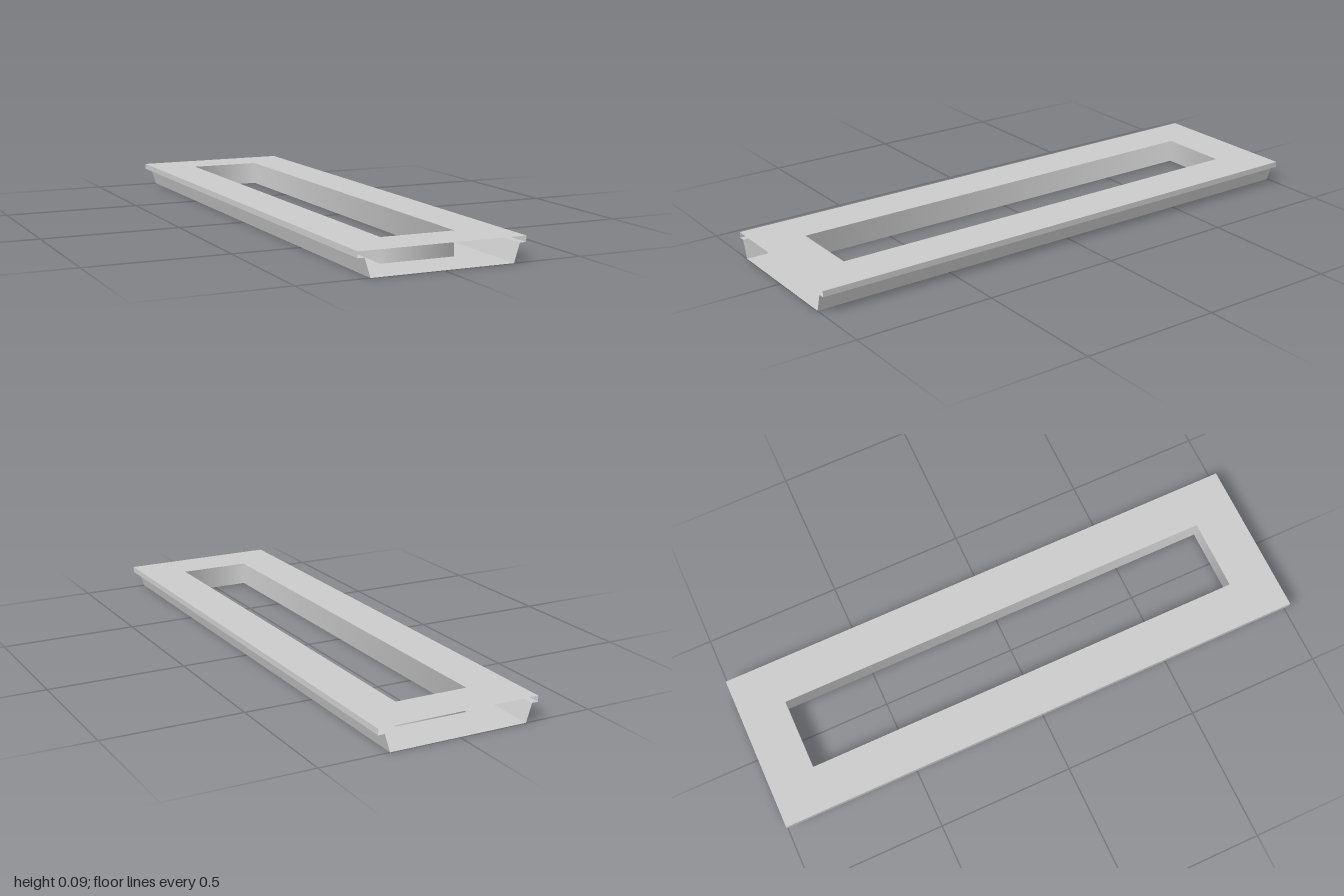
import * as THREE from 'three';

const HALF_LENGTH = 1, TOP_Y = 0.085;
const HOLE_X = 0.133, HOLE_Z = 0.833;
// Side profile (x, y) from the top plate's edge down to the bottom plate's edge
const PROFILE = [[0.295, TOP_Y], [0.295, 0.064], [0.272, 0.064], [0.252, 0]];

const material = new THREE.MeshStandardMaterial({ color: 0xcccccc, side: THREE.DoubleSide });

function rectangle(path, hx, hy) {
  return path.moveTo(-hx, -hy).lineTo(hx, -hy).lineTo(hx, hy).lineTo(-hx, hy).closePath();
}

// Thin horizontal plate with the long rectangular opening
function plate(name, halfWidth, y, facing) {
  const shape = rectangle(new THREE.Shape(), halfWidth, HALF_LENGTH);
  shape.holes.push(rectangle(new THREE.Path(), HOLE_X, HOLE_Z));
  const geometry = new THREE.ShapeGeometry(shape).rotateX(-facing * Math.PI / 2).translate(0, y, 0);
  const mesh = new THREE.Mesh(geometry, material);
  mesh.name = name;
  return mesh;
}

// One flat strip of a side, running the full length between two profile points
function sideStrip([x0, y0], [x1, y1], side) {
  const geometry = new THREE.PlaneGeometry(2 * HALF_LENGTH, Math.hypot(x1 - x0, y1 - y0));
  geometry.rotateY(Math.PI / 2);
  geometry.rotateZ(Math.atan2(y0 - y1, x0 - x1) - Math.PI / 2);
  geometry.translate((x0 + x1) / 2, (y0 + y1) / 2, 0);
  if (side < 0) geometry.rotateY(Math.PI);
  return new THREE.Mesh(geometry, material);
}

export function createModel() {
  const model = new THREE.Group();
  model.name = 'slottedFrame';

  model.add(plate('topPlate', PROFILE[0][0], TOP_Y, 1));
  model.add(plate('bottomPlate', PROFILE[3][0], 0, -1));

  // Stepped, sloping sides; both ends of the frame stay open
  for (const side of [1, -1]) {
    const group = new THREE.Group();
    group.name = side > 0 ? 'leftSide' : 'rightSide';
    ['lip', 'ledge', 'slope'].forEach((name, i) => {
      const strip = sideStrip(PROFILE[i], PROFILE[i + 1], side);
      strip.name = name;
      group.add(strip);
    });
    model.add(group);
  }

  // Walls of the opening: a four-sided tube, stretched while keeping its smooth corner normals
  const walls = new THREE.CylinderGeometry(Math.SQRT2, Math.SQRT2, TOP_Y, 4, 1, true, Math.PI / 4);
  walls.attributes.position.applyMatrix4(new THREE.Matrix4().makeScale(HOLE_X, 1, HOLE_Z));
  walls.translate(0, TOP_Y / 2, 0);
  const opening = new THREE.Mesh(walls, material);
  opening.name = 'openingWalls';
  model.add(opening);

  return model;
}
